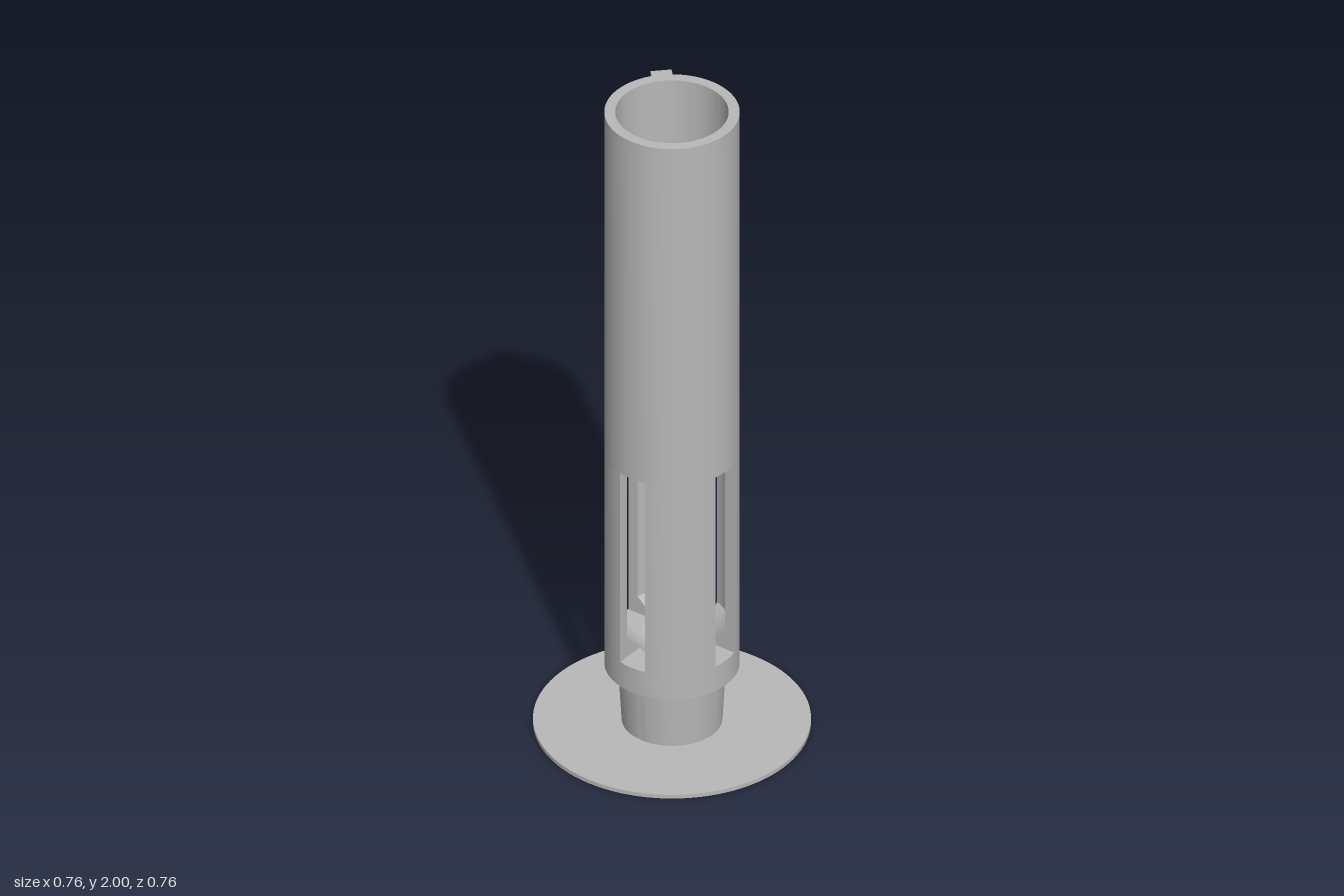
import * as THREE from 'three';
import { toCreasedNormals } from 'three/addons/utils/BufferGeometryUtils.js';

const OUTER = 0.185, INNER = 0.155, BORE = 0.066;
const BASE_TOP = 0.012, TUBE_BOTTOM = 0.195, TUBE_TOP = 2;
const SLOT_BOTTOM = 0.275, SLOT_TOP = 0.895, SLOT_HALF = 0.0425;
const SEGMENTS = 96;

// Closed ring: profile runs up the outside and down the inside
function ring(profile) {
  const points = [...profile, profile[0]].map(([r, y]) => new THREE.Vector2(r, y));
  return toCreasedNormals(new THREE.LatheGeometry(points, SEGMENTS), 0.5);
}

// Wall between two parallel-sided slots, swept over a quarter turn
function postGeometry() {
  const profile = [
    [OUTER, SLOT_BOTTOM], [OUTER, SLOT_TOP], [INNER, SLOT_TOP],
    [INNER, 0.33], [0.1, SLOT_BOTTOM],
  ];
  const steps = 18, n = profile.length, positions = [], index = [];
  for (let i = 0; i <= steps; i++) {
    for (const [r, y] of profile) {
      const inset = Math.asin(SLOT_HALF / r);
      const angle = inset + (i / steps) * (Math.PI / 2 - 2 * inset);
      positions.push(r * Math.sin(angle), y, r * Math.cos(angle));
    }
  }
  // Outer wall, inner wall and funnel; the ends butt against the rings
  for (let i = 0; i < steps; i++) {
    for (const j of [0, 2, 3]) {
      const a = i * n + j, b = a + n;
      index.push(a, b, a + 1, b + 1, a + 1, b);
    }
  }
  // Slot side faces
  const last = steps * n;
  for (const [a, b, c] of [[0, 1, 3], [1, 2, 3], [0, 3, 4]]) {
    index.push(a, b, c, last + a, last + c, last + b);
  }
  const geometry = new THREE.BufferGeometry();
  geometry.setAttribute('position', new THREE.Float32BufferAttribute(positions, 3));
  geometry.setIndex(index);
  geometry.computeVertexNormals();
  return toCreasedNormals(geometry, 0.5);
}

export function createModel() {
  const model = new THREE.Group();
  model.name = 'slottedTubeOnDisc';
  const grey = new THREE.MeshStandardMaterial({ color: 0xb8b8b8 });
  grey.name = 'plain grey';

  const add = (name, geometry) => {
    const mesh = new THREE.Mesh(geometry, grey);
    mesh.name = name;
    model.add(mesh);
    return mesh;
  };

  // Thin round foot with a central hole
  add('baseDisc', ring([[0.38, 0], [0.38, BASE_TOP], [BORE, BASE_TOP], [BORE, 0]]));

  // Tapered neck
  add('neck', ring([[0.138, BASE_TOP], [0.148, TUBE_BOTTOM], [BORE, TUBE_BOTTOM], [BORE, BASE_TOP]]));

  // Lower collar with the bottom of the funnel and the slot floors
  add('collar', ring([
    [OUTER, TUBE_BOTTOM], [OUTER, SLOT_BOTTOM], [0.1, SLOT_BOTTOM],
    [BORE, 0.241], [BORE, TUBE_BOTTOM],
  ]));

  // Four wall sections separated by the slots
  const post = postGeometry();
  for (let i = 0; i < 4; i++) add('slotWall' + (i + 1), post).rotation.y = i * Math.PI / 2;

  // Plain upper tube
  add('upperTube', ring([[OUTER, SLOT_TOP], [OUTER, TUBE_TOP], [INNER, TUBE_TOP], [INNER, SLOT_TOP]]));

  // Key rib along the back left of the tube
  const depth = 0.034, height = TUBE_TOP - TUBE_BOTTOM;
  const rib = add('keyRib', new THREE.BoxGeometry(0.058, height, depth));
  const angle = Math.PI * 0.75, radius = 0.207 - depth / 2;
  rib.position.set(radius * Math.sin(angle), TUBE_BOTTOM + height / 2, radius * Math.cos(angle));
  rib.rotation.y = angle;

  return model;
}
